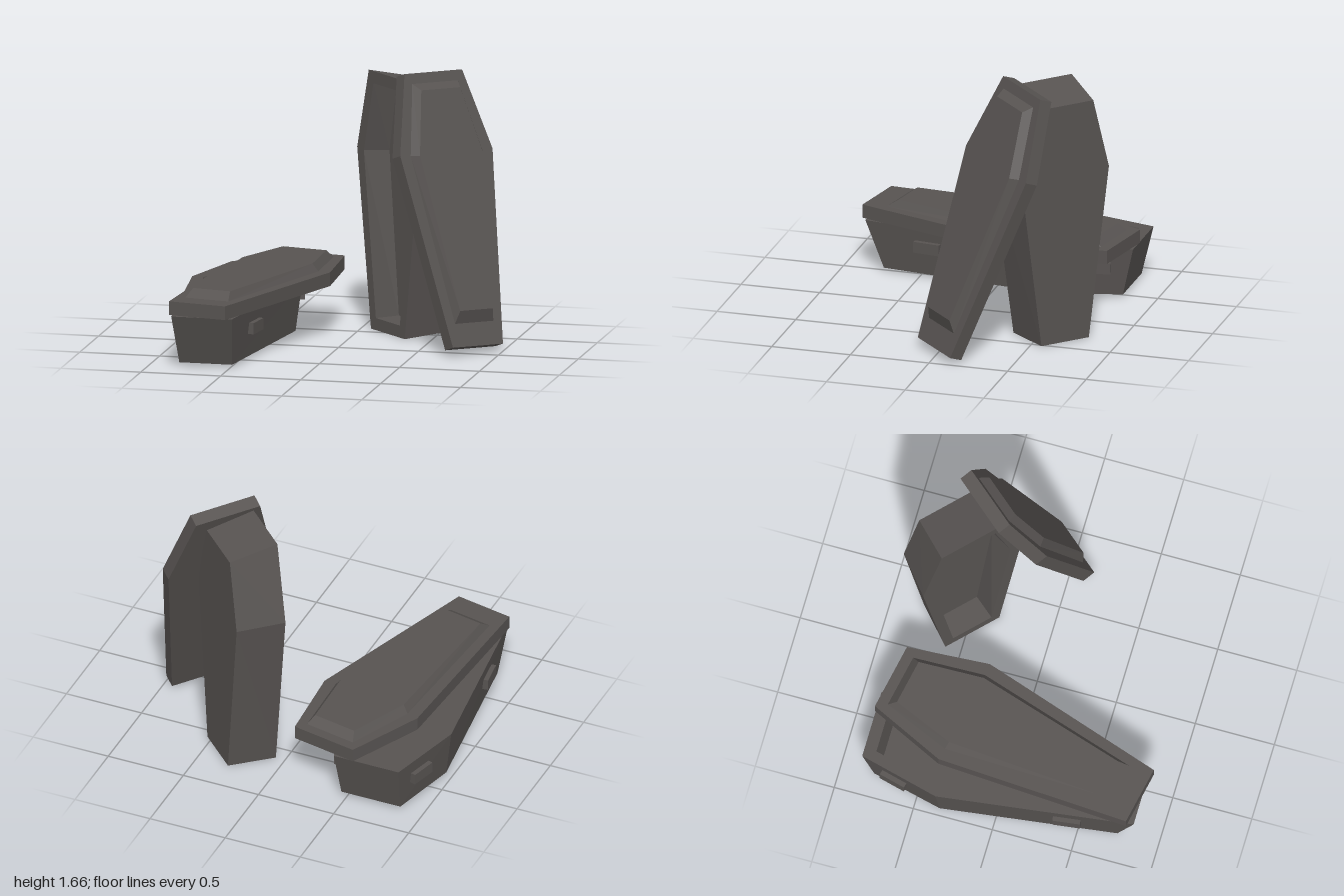
import * as THREE from 'three';

const stone = new THREE.MeshStandardMaterial({ color: 0x575351 });
stone.name = 'dark grey stone';
stone.flatShading = true;

// Six-sided outline at depth w: half width and lengthwise position at head, shoulder and foot
function ring(w, [headX, headV], [shoulderX, shoulderV], [footX, footV]) {
  return [
    [headX, headV, w], [-headX, headV, w], [-shoulderX, shoulderV, w],
    [-footX, footV, w], [footX, footV, w], [shoulderX, shoulderV, w],
  ];
}

// Joins successive outlines with walls and caps the first and last
function loft(name, rings) {
  const pos = [];
  const tri = (a, b, c) => pos.push(...a, ...b, ...c);
  const n = rings[0].length;
  for (let r = 0; r < rings.length - 1; r++) {
    for (let i = 0; i < n; i++) {
      const j = (i + 1) % n;
      const a = rings[r], b = rings[r + 1];
      tri(a[i], a[j], b[j]);
      tri(a[i], b[j], b[i]);
    }
  }
  const first = rings[0], last = rings[rings.length - 1];
  for (let i = 1; i < n - 1; i++) {
    tri(first[0], first[i + 1], first[i]);
    tri(last[0], last[i], last[i + 1]);
  }
  const geo = new THREE.BufferGeometry();
  geo.setAttribute('position', new THREE.Float32BufferAttribute(pos, 3));
  geo.computeVertexNormals();
  const mesh = new THREE.Mesh(geo, stone);
  mesh.name = name;
  return mesh;
}

// Hollow tapered box; footTop and footInner set how the foot end is cut
function makeBox(name, footTop, footInner, footFloor) {
  return loft(name, [
    ring(0, [0.196, 0.785], [0.305, 0.34], [0.165, -0.745]),
    ring(0.305, [0.215, 0.855], [0.345, 0.355], [0.19, footTop]),
    ring(0.305, [0.163, 0.78], [0.27, 0.345], [0.135, footInner]),
    ring(0.145, [0.15, 0.745], [0.23, 0.335], [0.125, footFloor]),
  ]);
}

// Slab with a raised bevelled panel
function makeLid(name) {
  const lid = new THREE.Group();
  lid.name = name;
  const outline = [[0.215, 0.85], [0.345, 0.35], [0.187, -0.85]];
  lid.add(loft('lidSlab', [ring(0, ...outline), ring(0.085, ...outline)]));
  lid.add(loft('lidPanel', [
    ring(0.085, [0.17, 0.785], [0.268, 0.345], [0.143, -0.705]),
    ring(0.133, [0.145, 0.735], [0.233, 0.335], [0.123, -0.635]),
  ]));
  return lid;
}

export function createModel() {
  const model = new THREE.Group();
  model.name = 'caskets';

  // Lying casket with four side handles
  const lying = new THREE.Group();
  lying.name = 'lyingCasket';
  lying.add(makeBox('lyingBox', -0.855, -0.78, -0.74));
  for (const side of [-1, 1]) {
    for (const [x, v, turn] of [[0.236, -0.445, -0.127], [0.267, 0.64, 0.254]]) {
      const handle = new THREE.Mesh(new THREE.BoxGeometry(0.05, 0.17, 0.07), stone);
      handle.name = 'handle';
      handle.position.set(side * x, v, 0.185);
      handle.rotation.z = side * turn;
      lying.add(handle);
    }
  }
  lying.rotation.x = -Math.PI / 2;
  lying.position.set(-0.655, 0.02, -0.005);
  model.add(lying);

  // Lid resting askew on the lying casket
  const askewLid = makeLid('askewLid');
  askewLid.rotation.set(-Math.PI / 2, -0.194, 0, 'YXZ');
  askewLid.position.set(-0.521, 0.325, 0.01);
  model.add(askewLid);

  // Upright casket with its foot cut level
  const standing = makeBox('standingBox', -0.75, -0.675, -0.675);
  standing.rotation.y = -0.767;
  standing.position.set(0.41, 0.752, -0.687);
  model.add(standing);

  // Lid leaning against the upright casket
  const leaningLid = makeLid('leaningLid');
  const up = new THREE.Vector3(-0.226, 0.939, -0.26).normalize();
  const normal = new THREE.Vector3(0.66, -0.056, -0.749).cross(up).normalize();
  const across = up.clone().cross(normal);
  leaningLid.quaternion.setFromRotationMatrix(new THREE.Matrix4().makeBasis(across, up, normal));
  leaningLid.position.set(0.621, 0.825, -0.266);
  model.add(leaningLid);

  return model;
}
